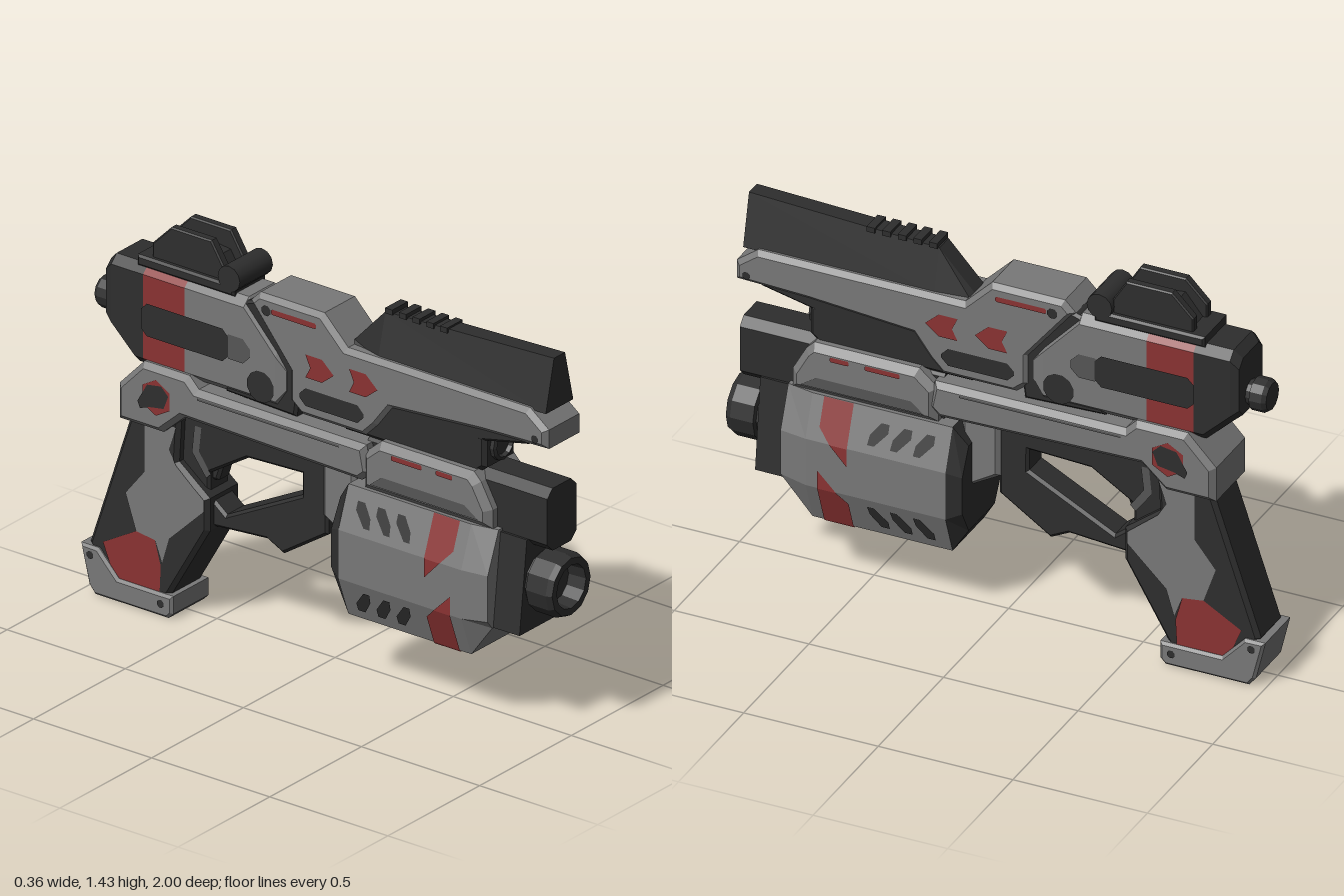
import * as THREE from 'three';

const paint = (name, color) => {
  const m = new THREE.MeshStandardMaterial({ color });
  m.name = name;
  return m;
};

export function createModel() {
  const model = new THREE.Group();
  model.name = 'sciFiPistol';
  const grey = paint('steelGrey', 0x787878);
  const dark = paint('charcoal', 0x2e2e2e);
  const mid = paint('midGrey', 0x555555);
  const red = paint('dullRed', 0x8a3232);

  const add = (name, geo, mat) => {
    const mesh = new THREE.Mesh(geo, mat);
    mesh.name = name;
    model.add(mesh);
    return mesh;
  };
  const vec = (pts, s = 1) => pts.map(([z, y]) => new THREE.Vector2(s * z, y));

  // Side outline [z, y] extruded across x with chamfered edges
  function slab(name, pts, half, mat, bevel = 0.015, hole = null) {
    const shape = new THREE.Shape(vec(pts, -1));
    if (hole) shape.holes.push(new THREE.Path(vec(hole, -1)));
    const geo = new THREE.ExtrudeGeometry(shape, {
      depth: 2 * (half - bevel), bevelEnabled: bevel > 0, bevelSegments: 1,
      bevelThickness: bevel, bevelSize: bevel, bevelOffset: -bevel,
    });
    geo.translate(0, 0, -(half - bevel)).rotateY(Math.PI / 2);
    return add(name, geo, mat);
  }

  // Painted face on both flanks; xAt gives the surface distance at height y
  function plate(name, pts, mat, xAt) {
    for (const s of [1, -1]) {
      const geo = new THREE.ShapeGeometry(new THREE.Shape(vec(pts, -s)));
      geo.rotateY(s * Math.PI / 2);
      const p = geo.attributes.position;
      for (let i = 0; i < p.count; i++) {
        p.setX(i, s * ((typeof xAt === 'function' ? xAt(p.getY(i)) : xAt) + 0.004));
      }
      geo.computeVertexNormals();
      add(name + (s > 0 ? 'Left' : 'Right'), geo, mat);
    }
  }
  const disc = (z, y, r, n = 12) => Array.from({ length: n }, (_, i) => {
    const a = (i + 0.5) / n * Math.PI * 2;
    return [z + r * Math.cos(a), y + r * Math.sin(a)];
  });
  const pill = (z0, z1, y0, y1, c) => [[z0, y0 + c], [z0, y1 - c], [z0 - c, y1], [z1 + c, y1],
    [z1, y1 - c], [z1, y0 + c], [z1 + c, y0], [z0 - c, y0]];

  // Faceted loft from front to back; each section is z plus the left half, bottom to top
  function loft(name, sections, mat) {
    const rings = sections.map(([z, half]) => [...half, ...half.slice().reverse().map(([x, y]) => [-x, y])]
      .map(([x, y]) => [x, y, z]));
    const out = [];
    const n = rings[0].length;
    const last = rings[rings.length - 1];
    for (let i = 1; i < n - 1; i++) {
      out.push(...rings[0][0], ...rings[0][i], ...rings[0][i + 1]);
      out.push(...last[0], ...last[i + 1], ...last[i]);
    }
    for (let k = 0; k < rings.length - 1; k++) {
      for (let i = 0; i < n; i++) {
        const a = rings[k], b = rings[k + 1], j = (i + 1) % n;
        out.push(...a[i], ...b[i], ...a[j], ...a[j], ...b[i], ...b[j]);
      }
    }
    const geo = new THREE.BufferGeometry();
    geo.setAttribute('position', new THREE.Float32BufferAttribute(out, 3));
    geo.computeVertexNormals();
    return add(name, geo, mat);
  }
  const oct = (z, y0, y1, w, c = 0.03) => [z, [[w - c, y0], [w, y0 + c], [w, y1 - c], [w - c, y1]]];

  // Turned part along z, profile of [radius, z] from back to front
  const turned = (name, profile, y, mat, sides = 12) => {
    const geo = new THREE.LatheGeometry(vec(profile), sides).toNonIndexed();
    geo.rotateX(Math.PI / 2).translate(0, y, 0);
    geo.computeVertexNormals();
    return add(name, geo, mat);
  };

  // Upper shroud
  slab('upperShroud', [[0.97, 1.15], [0.89, 1.21], [0.12, 1.21], [0.02, 1.31], [-0.25, 1.31], [-0.29, 1.27],
    [-0.12, 1.06], [-0.12, 0.95], [-0.07, 0.91], [0.2, 0.91], [0.25, 0.96], [0.31, 1.04], [0.7, 1.07], [0.97, 1.08]],
  0.1, grey, 0.018);
  slab('shroudUnderside', [[0.88, 1.1], [0.88, 1.07], [0.26, 0.935], [0.1, 0.94], [0.1, 1.1]], 0.085, dark, 0.01);
  slab('barrelBlock', [[0.7, 1.05], [0.7, 0.93], [0.66, 0.9], [0.1, 0.9], [0.1, 1.05]], 0.085, dark);
  turned('barrelRing', [[0.058, 0.68], [0.058, 0.715], [0.045, 0.72], [0.04, 0.705], [0, 0.705]], 0.995, dark);
  for (const z of [0.2, 0.015]) {
    plate('shroudChevron', [[z + 0.06, 1.1], [z + 0.01, 1.145], [z - 0.06, 1.145], [z - 0.04, 1.1],
      [z - 0.06, 1.06], [z + 0.01, 1.06]], red, 0.1);
  }
  plate('shroudSlot', pill(0.2, -0.07, 0.955, 1.02, 0.025), dark, 0.1);
  plate('shroudStripe', pill(0, -0.19, 1.25, 1.27, 0.005), red, 0.1);
  plate('shroudRearBolt', disc(-0.212, 1.258, 0.02, 8), dark, 0.1);
  plate('shroudFrontBolt', disc(0.925, 1.11, 0.015, 8), dark, 0.1);

  // Tapered top rail with ridges
  loft('topRail', [[0.95, [[0.075, 1.2], [0.03, 1.39]]], [0.24, [[0.075, 1.2], [0.035, 1.36]]],
    [0.11, [[0.06, 1.2], [0.035, 1.22]]]], dark);
  for (let i = 0; i < 5; i++) {
    add('railRidge', new THREE.BoxGeometry(0.085, 0.02, 0.03), dark).position.set(0, 1.368, 0.26 + i * 0.058);
  }

  // Receiver: grey front, red band, dark rear cap
  slab('receiverCore', [[-0.07, 1.1], [-0.25, 1.28], [-0.34, 1.25], [-0.4, 0.9], [-0.1, 0.89]], 0.088, dark, 0.01);
  loft('receiverFront', [oct(-0.135, 0.95, 1.08, 0.09), oct(-0.175, 0.9, 1.125, 0.1), oct(-0.31, 0.9, 1.27, 0.1),
    oct(-0.56, 0.9, 1.27, 0.1)], grey);
  loft('receiverBand', [oct(-0.56, 0.9, 1.27, 0.1), oct(-0.735, 0.9, 1.27, 0.1)], red);
  loft('receiverRear', [oct(-0.735, 0.9, 1.27, 0.1), oct(-0.77, 0.9, 1.27, 0.1), oct(-0.87, 0.995, 1.27, 0.1),
    oct(-0.9, 1.02, 1.24, 0.09)], dark);
  plate('receiverSlotTip', pill(-0.28, -0.4, 1.035, 1.125, 0.03), mid, 0.1);
  plate('receiverSlot', pill(-0.37, -0.74, 1.02, 1.14, 0.025), dark, 0.102);
  plate('receiverPivot', disc(-0.235, 0.97, 0.058), dark, 0.1);
  turned('rearKnob', [[0, -0.98], [0.05, -0.98], [0.06, -0.965], [0.06, -0.92], [0.045, -0.915], [0.045, -0.88]],
    1.08, dark);

  // Rear sight
  slab('sightBase', [[-0.36, 1.26], [-0.36, 1.3], [-0.77, 1.3], [-0.77, 1.26]], 0.09, dark, 0.008);
  const sight = [[-0.42, 1.28], [-0.42, 1.35], [-0.47, 1.43], [-0.64, 1.43], [-0.72, 1.35], [-0.72, 1.28]];
  for (const s of [1, -1]) slab('sightEar', sight, 0.017, dark, 0.005).position.x = s * 0.053;
  slab('sightMiddle', [[-0.42, 1.28], [-0.47, 1.36], [-0.64, 1.38], [-0.72, 1.28]], 0.045, dark, 0.005);
  add('sightRoller', new THREE.CylinderGeometry(0.047, 0.047, 0.18, 12).rotateZ(Math.PI / 2), dark)
    .position.set(0, 1.322, -0.38);

  // Frame rail
  slab('frameRail', [[0.24, 0.79], [0.22, 0.89], [-0.49, 0.89], [-0.53, 0.93], [-0.72, 0.93], [-0.825, 0.82],
    [-0.825, 0.69], [-0.64, 0.69], [-0.55, 0.77], [0.2, 0.755]], 0.13, grey, 0.02);
  plate('railGroove', [[0.12, 0.868], [-0.48, 0.868], [-0.48, 0.86], [0.12, 0.86]], mid, 0.13);
  plate('framePivotMark', disc(-0.655, 0.82, 0.066, 6), red, 0.13);
  plate('framePivot', [[-0.6, 0.84], [-0.63, 0.87], [-0.69, 0.86], [-0.73, 0.79], [-0.72, 0.765], [-0.68, 0.78],
    [-0.62, 0.79]], dark, 0.133);

  // Fore-end
  loft('foreEndCore', [oct(0.96, 0.69, 0.92, 0.08), oct(0.2, 0.69, 0.92, 0.08)], dark);
  slab('foreEndCover', [[0.75, 0.73], [0.75, 0.8], [0.7, 0.89], [0.67, 0.92], [0.28, 0.92], [0.21, 0.86], [0.21, 0.73]],
    0.13, grey, 0.025);
  plate('foreEndShade', [[0.71, 0.76], [0.65, 0.8], [0.3, 0.8], [0.25, 0.76]], mid, 0.13);
  plate('foreEndStripe', pill(0.47, 0.34, 0.875, 0.893, 0.004), red, 0.13);
  plate('foreEndDash', pill(0.6, 0.53, 0.875, 0.893, 0.004), red, 0.13);

  // Lower housing with hexagonal section
  const hex = (z, wt, yt, w, y1, y0, wb, yb) => [z, [[wb, yb], [w, y0], [w, y1], [wt, yt]]];
  const full = (z) => hex(z, 0.12, 0.73, 0.175, 0.58, 0.4, 0.12, 0.25);
  loft('lowerHousing', [hex(0.77, 0.1, 0.73, 0.16, 0.58, 0.41, 0.135, 0.38), full(0.67), full(0.15)], grey);
  loft('housingRear', [full(0.15), hex(0.1, 0.1, 0.66, 0.15, 0.56, 0.42, 0.1, 0.33)], dark);
  loft('housingFront', [[0.88, [[0.128, 0.38], [0.088, 0.72]]], [0.74, [[0.13, 0.38], [0.09, 0.72]]]], dark);
  turned('muzzle', [[0.1, 0.86], [0.1, 0.89], [0.115, 0.895], [0.115, 0.98], [0.105, 1], [0.08, 1], [0.075, 0.93],
    [0, 0.93]], 0.55, dark);
  const flank = (y) => 0.175 - Math.max(0, y - 0.58, 0.4 - y) * 0.055 / 0.15;
  plate('upperBand', [[0.625, 0.73], [0.515, 0.73], [0.515, 0.58], [0.58, 0.58], [0.625, 0.63]], red, flank);
  plate('upperBandTip', [[0.58, 0.58], [0.515, 0.58], [0.515, 0.51]], red, flank);
  plate('lowerBandTip', [[0.625, 0.47], [0.555, 0.4], [0.625, 0.4]], red, flank);
  plate('lowerBand', [[0.625, 0.4], [0.555, 0.4], [0.515, 0.36], [0.515, 0.25], [0.625, 0.25]], red, flank);
  add('bottomBand', new THREE.BoxGeometry(0.24, 0.006, 0.11), red).position.set(0, 0.249, 0.57);
  for (const z of [0.41, 0.325, 0.24]) {
    plate('upperVent', [[z + 0.035, 0.61], [z + 0.03, 0.645], [z - 0.005, 0.69], [z - 0.035, 0.69], [z - 0.035, 0.66],
      [z + 0.01, 0.61]], dark, flank);
    plate('lowerVent', [[z + 0.035, 0.37], [z + 0.03, 0.335], [z - 0.005, 0.285], [z - 0.035, 0.285], [z - 0.035, 0.315],
      [z + 0.01, 0.37]], dark, flank);
  }

  // Bridge, trigger guard and trigger
  slab('bridge', [[0.14, 0.78], [0, 0.78], [0, 0.55], [0.14, 0.47]], 0.075, grey);
  slab('triggerGuard', [[0.01, 0.78], [0.01, 0.475], [-0.18, 0.35], [-0.25, 0.385], [-0.5, 0.365], [-0.62, 0.5],
    [-0.62, 0.78]], 0.055, dark, 0.01,
  [[-0.1, 0.67], [-0.33, 0.66], [-0.49, 0.56], [-0.49, 0.48], [-0.42, 0.425], [-0.1, 0.59]]);
  slab('trigger', [[-0.37, 0.78], [-0.44, 0.62], [-0.47, 0.53], [-0.53, 0.52], [-0.54, 0.78]], 0.035, dark, 0.01);
  plate('triggerSide', [[-0.52, 0.72], [-0.55, 0.72], [-0.56, 0.62], [-0.5, 0.54], [-0.48, 0.56], [-0.53, 0.63]],
    mid, 0.055);

  // Grip with side panels and base
  slab('grip', [[-0.59, 0.75], [-0.6, 0.58], [-0.47, 0.48], [-0.47, 0.36], [-0.65, 0.05], [-0.9, 0.05], [-0.975, 0.18],
    [-0.8, 0.7], [-0.78, 0.75]], 0.09, dark, 0.015);
  plate('gripPanel', [[-0.6, 0.71], [-0.735, 0.71], [-0.735, 0.51], [-0.815, 0.41], [-0.77, 0.28], [-0.69, 0.27],
    [-0.66, 0.19], [-0.63, 0.29], [-0.485, 0.43], [-0.485, 0.475], [-0.6, 0.57], [-0.63, 0.62]], grey, 0.09);
  plate('gripMark', [[-0.69, 0.27], [-0.77, 0.28], [-0.91, 0.2], [-0.86, 0.08], [-0.67, 0.08], [-0.665, 0.18]], red, 0.09);
  slab('gripBase', [[-0.61, 0.085], [-0.84, 0.085], [-0.925, 0.175], [-1, 0.175], [-0.965, 0.03], [-0.94, 0],
    [-0.63, 0], [-0.61, 0.02]], 0.105, grey, 0.01);
  plate('baseFrontBolt', disc(-0.655, 0.05, 0.015, 8), dark, 0.105);
  plate('baseRearBolt', disc(-0.953, 0.145, 0.015, 8), dark, 0.105);

  return model;
}
